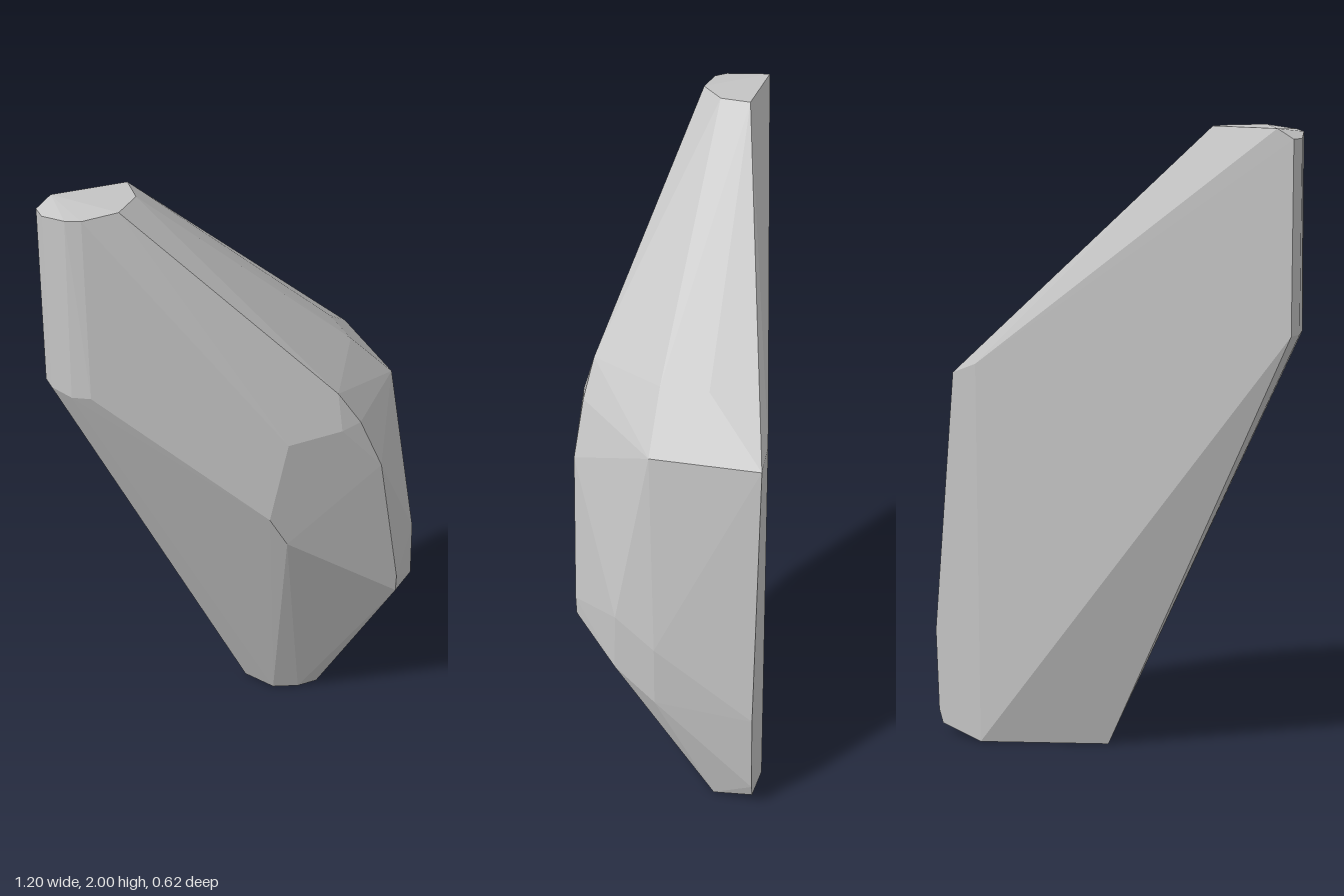
import * as THREE from 'three';
import { ConvexGeometry } from 'three/addons/geometries/ConvexGeometry.js';

export function createModel() {
  const stone = new THREE.MeshStandardMaterial({ color: 0xc4c4c4 });
  stone.name = 'stoneGrey';

  // Corners of the faceted boulder, grouped by region
  const tip = [
    [-0.6, 1.97, -0.1], [-0.55, 2, -0.11], [-0.32, 2, -0.095], [-0.33, 2, 0],
    [-0.41, 2, 0.07], [-0.52, 1.99, 0.06], [-0.56, 1.985, 0.03], [-0.6, 1.97, -0.05],
  ];
  const leftEdge = [
    [-0.6, 1.39, -0.1], [-0.6, 1.39, -0.05], [-0.565, 1.39, 0.03], [-0.52, 1.4, 0.075],
  ];
  const frontFace = [
    [-0.04, 0.97, 0.31], [0.02, 0.86, 0.31], [0.02, 1.23, 0.31], [0.2, 1.235, 0.31],
    [0.2, 1.35, 0.275], [0.27, 1.24, 0.293], [0.34, 1.07, 0.308],
    [0.42, 0.6, 0.295], [0.42, 0.54, 0.293],
  ];
  const rightSide = [
    [0.36, 1.37, 0.03], [0.36, 1.37, -0.12], [0.51, 1.21, 0.03], [0.51, 1.21, -0.31],
    [0.56, 0.65, 0.13], [0.56, 0.46, 0.135], [0.595, 0.57, 0], [0.595, 0.37, 0],
    [0.598, 0.35, -0.31], [0.59, 0.08, -0.31],
  ];
  const back = [[0.42, 1.245, -0.31], [0.42, 0, -0.31], [0.575, 0.035, -0.31]];
  const base = [
    [0.06, 0, -0.1], [0.12, 0, 0], [0.2, 0, 0.03], [0.27, 0, 0.03],
    [0.55, 0, -0.18],
  ];

  const points = [tip, leftEdge, frontFace, rightSide, back, base]
    .flat()
    .map((p) => new THREE.Vector3(...p));

  const boulder = new THREE.Mesh(new ConvexGeometry(points), stone);
  boulder.name = 'boulder';

  const group = new THREE.Group();
  group.name = 'leaningRock';
  group.add(boulder);
  return group;
}
